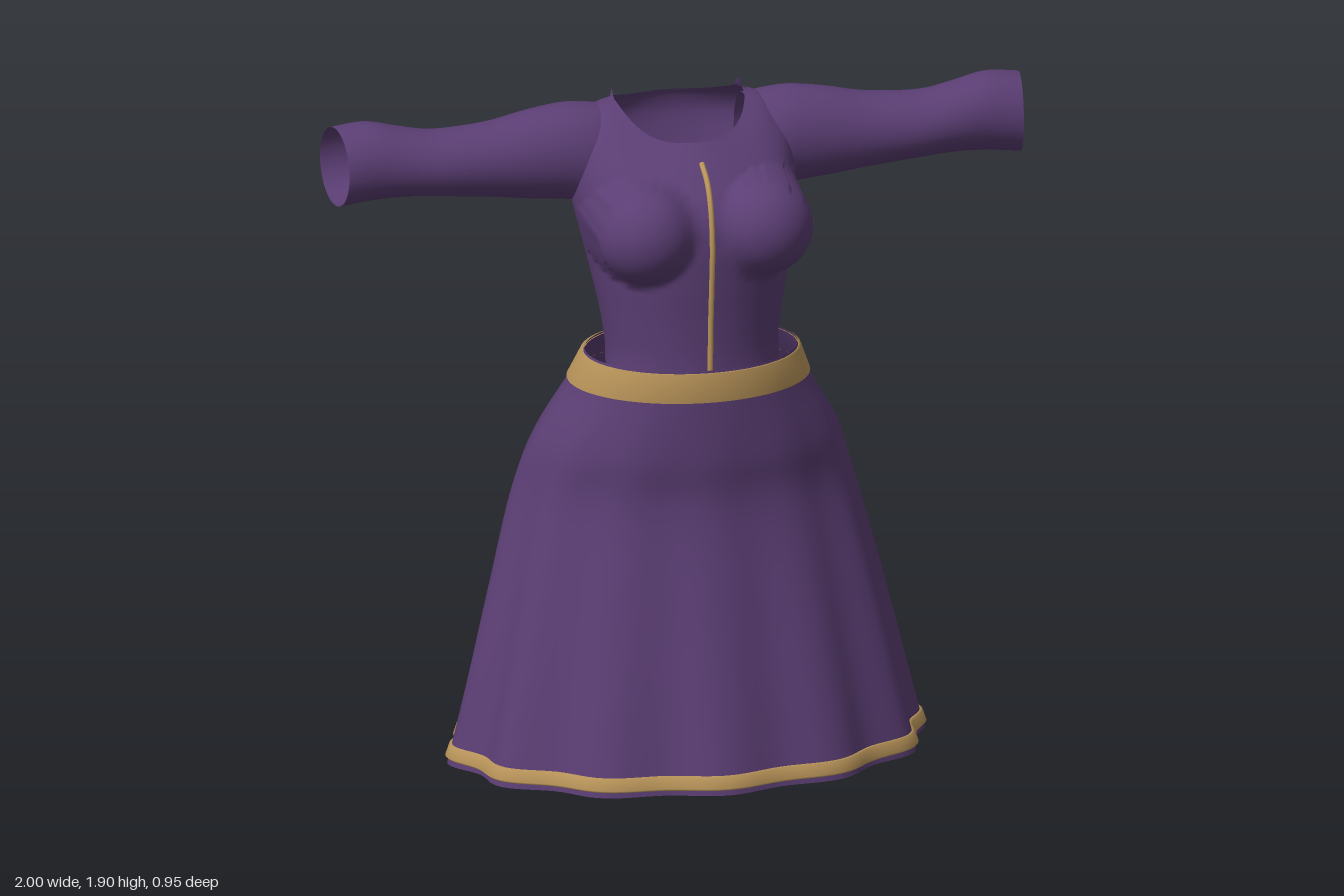
import * as THREE from 'three';

const TAU = Math.PI * 2;

// Smoothly resample a short list of cross-section rows
function resample(rows, steps) {
  const out = [], last = rows.length - 1;
  for (let s = 0; s <= steps; s++) {
    const u = (s / steps) * last, i = Math.min(Math.floor(u), last - 1), f = u - i;
    const [a, b, c, d] = [i - 1, i, i + 1, i + 2].map(k => rows[Math.max(0, Math.min(last, k))]);
    out.push(b.map((p1, k) => {
      const p0 = a[k], p2 = c[k], p3 = d[k];
      return 0.5 * (2 * p1 + (p2 - p0) * f + (2 * p0 - 5 * p1 + 4 * p2 - p3) * f * f
        + (3 * p1 - p0 - 3 * p2 + p3) * f * f * f);
    }));
  }
  return out;
}

// Join closed loops into a skin; skip(x, y, z) can leave openings
function loft(rows, sides, point, skip = () => false) {
  const pos = [], index = [];
  rows.forEach((row, i) => {
    for (let j = 0; j < sides; j++) pos.push(...point(row, (j / sides) * TAU, i));
  });
  const tri = (...v) => {
    const mid = [0, 1, 2].map(k => (pos[v[0] * 3 + k] + pos[v[1] * 3 + k] + pos[v[2] * 3 + k]) / 3);
    if (!skip(...mid)) index.push(...v);
  };
  for (let i = 0; i < rows.length - 1; i++) {
    for (let j = 0; j < sides; j++) {
      const a = i * sides + j, b = i * sides + (j + 1) % sides;
      tri(a, b, b + sides);
      tri(a, b + sides, a + sides);
    }
  }
  const geo = new THREE.BufferGeometry();
  geo.setAttribute('position', new THREE.Float32BufferAttribute(pos, 3));
  geo.setIndex(index);
  geo.computeVertexNormals();
  return geo;
}

// Oval with separate front and back depth around centre zc
function oval(w, zF, zB, zc, t) {
  const c = Math.cos(t);
  return [w * Math.sin(t), zc + c * (c > 0 ? zF - zc : zc - zB)];
}

const smoothMax = (a, b, k) => {
  const h = Math.max(k - Math.abs(a - b), 0) / k;
  return Math.max(a, b) + h * h * k * 0.25;
};

// Bodice rows: side y, front y, back y, half width, front z, back z, centre z
const BODICE = [
  [1.15, 1.15, 1.15, 0.245, 0.26, -0.125, 0.07],
  [1.22, 1.22, 1.22, 0.245, 0.258, -0.135, 0.06],
  [1.32, 1.32, 1.32, 0.26, 0.263, -0.15, 0.05],
  [1.42, 1.42, 1.42, 0.28, 0.272, -0.17, 0.03],
  [1.52, 1.52, 1.52, 0.3, 0.278, -0.195, 0],
  [1.62, 1.6, 1.61, 0.318, 0.27, -0.225, -0.04],
  [1.71, 1.66, 1.7, 0.32, 0.24, -0.25, -0.07],
  [1.8, 1.71, 1.77, 0.3, 0.195, -0.262, -0.09],
  [1.86, 1.755, 1.815, 0.245, 0.15, -0.256, -0.09],
  [1.88, 1.797, 1.842, 0.185, 0.105, -0.243, -0.09],
];
const BODICE_STEPS = 54;

function bodicePoint([yS, yF, yB, w, zF, zB, zc], t, i) {
  let [x, z] = oval(w, zF, zB, zc, t);
  const s4 = Math.sin(t) ** 4;
  let y = (Math.cos(t) > 0 ? yF : yB) * (1 - s4) + yS * s4;
  if (Math.cos(t) > 0) {
    // Rounded bust on each side
    const d = 0.145 ** 2 - (Math.abs(x) - 0.168) ** 2 - (y - 1.572) ** 2;
    if (d > 0) z = smoothMax(z, 0.188 + Math.sqrt(d), 0.03);
  }
  // Ragged points on the neckline beside each shoulder
  if (i === BODICE_STEPS) {
    const back = Math.abs(Math.acos(Math.cos(t))) - 1.75;
    y += 0.026 * Math.max(0, 1 - Math.abs(back) / 0.22);
  }
  return [x, y, z];
}

// Sleeve rows: x, top y, bottom y, front z, back z
const SLEEVE = [
  [0.19, 1.862, 1.61, 0.01, -0.2],
  [0.26, 1.872, 1.59, 0.03, -0.215],
  [0.33, 1.876, 1.602, 0.03, -0.212],
  [0.43, 1.862, 1.612, 0.025, -0.205],
  [0.55, 1.838, 1.628, 0.02, -0.195],
  [0.7, 1.83, 1.643, 0.02, -0.19],
  [0.8, 1.845, 1.648, 0.015, -0.195],
  [0.9, 1.866, 1.643, 0.01, -0.2],
  [1.0, 1.857, 1.632, 0.01, -0.2],
];

function sleevePoint([x, top, bottom, zF, zB], t) {
  const z = (zF + zB) / 2 + (zF - zB) / 2 * Math.sin(t);
  const y = (top + bottom) / 2 + (top - bottom) / 2 * Math.cos(t);
  const slant = Math.max(0, (x - 0.6) / 0.4) * 0.03 * (z + 0.2) / 0.21;
  return [x - slant, y, z];
}

// Skirt rows: y, half width, front z, back z, fold depth
const SKIRT = [
  [0, 0.685, 0.47, -0.47, 0.06],
  [0.05, 0.672, 0.46, -0.46, 0.058],
  [0.25, 0.622, 0.412, -0.423, 0.05],
  [0.5, 0.56, 0.35, -0.395, 0.04],
  [0.77, 0.488, 0.293, -0.382, 0.025],
  [0.93, 0.432, 0.3, -0.325, 0.012],
  [1.1, 0.335, 0.3, -0.25, 0],
  [1.19, 0.3, 0.297, -0.185, 0],
];

function skirtPoint([y, w, zF, zB, fold], t) {
  const r = 1 - fold * (1 - Math.cos(12 * t)) / 2;
  const [x, z] = oval(w, zF, zB, (zF + zB) / 2, t);
  return [x * r, y, z * r];
}

export function createModel() {
  const model = new THREE.Group();
  const cloth = new THREE.MeshStandardMaterial({ color: 0x5b3e74, side: THREE.DoubleSide });
  cloth.name = 'purple cloth';
  const gold = new THREE.MeshStandardMaterial({ color: 0xba955a, side: THREE.DoubleSide });
  gold.name = 'gold trim';
  const add = (name, geo, mat) => {
    const mesh = new THREE.Mesh(geo, mat);
    mesh.name = name;
    model.add(mesh);
    return mesh;
  };

  // Bodice with open armholes
  const armhole = (x, y, z) => Math.abs(x) > 0.2 && Math.hypot(y - 1.74, z + 0.09) < 0.108;
  add('bodice', loft(resample(BODICE, BODICE_STEPS), 96, bodicePoint, armhole), cloth);

  // Sleeves, open at the cuffs
  const sleeve = loft(resample(SLEEVE, 40), 36, sleevePoint);
  add('leftSleeve', sleeve, cloth);
  add('rightSleeve', sleeve, cloth).scale.x = -1;

  // Pleated skirt
  add('skirt', loft(resample(SKIRT, 42), 144, skirtPoint), cloth);

  // Gold band just above the hem
  add('hemTrim', loft([
    [0.016, 0.684, 0.472, -0.472, 0.05],
    [0.022, 0.69, 0.477, -0.477, 0.05],
    [0.054, 0.679, 0.467, -0.467, 0.05],
    [0.055, 0.671, 0.459, -0.459, 0.055],
  ], 144, skirtPoint), gold);

  // Belt: outer face folded over the top edge
  add('belt', loft([
    [1.1, 0.334, 0.3, -0.25, 0],
    [1.1, 0.343, 0.309, -0.256, 0],
    [1.183, 0.31, 0.307, -0.205, 0],
    [1.183, 0.3, 0.297, -0.187, 0],
  ], 96, skirtPoint), gold);

  // Thin cord down the front, its top end curling free
  const cord = new THREE.CatmullRomCurve3([
    [1.18, 0.268], [1.3, 0.272], [1.42, 0.283], [1.55, 0.292], [1.66, 0.272], [1.72, 0.235], [1.757, 0.175],
  ].map(([y, z]) => new THREE.Vector3(0, y, z)));
  add('frontCord', new THREE.TubeGeometry(cord, 40, 0.008, 8), gold);

  return model;
}
